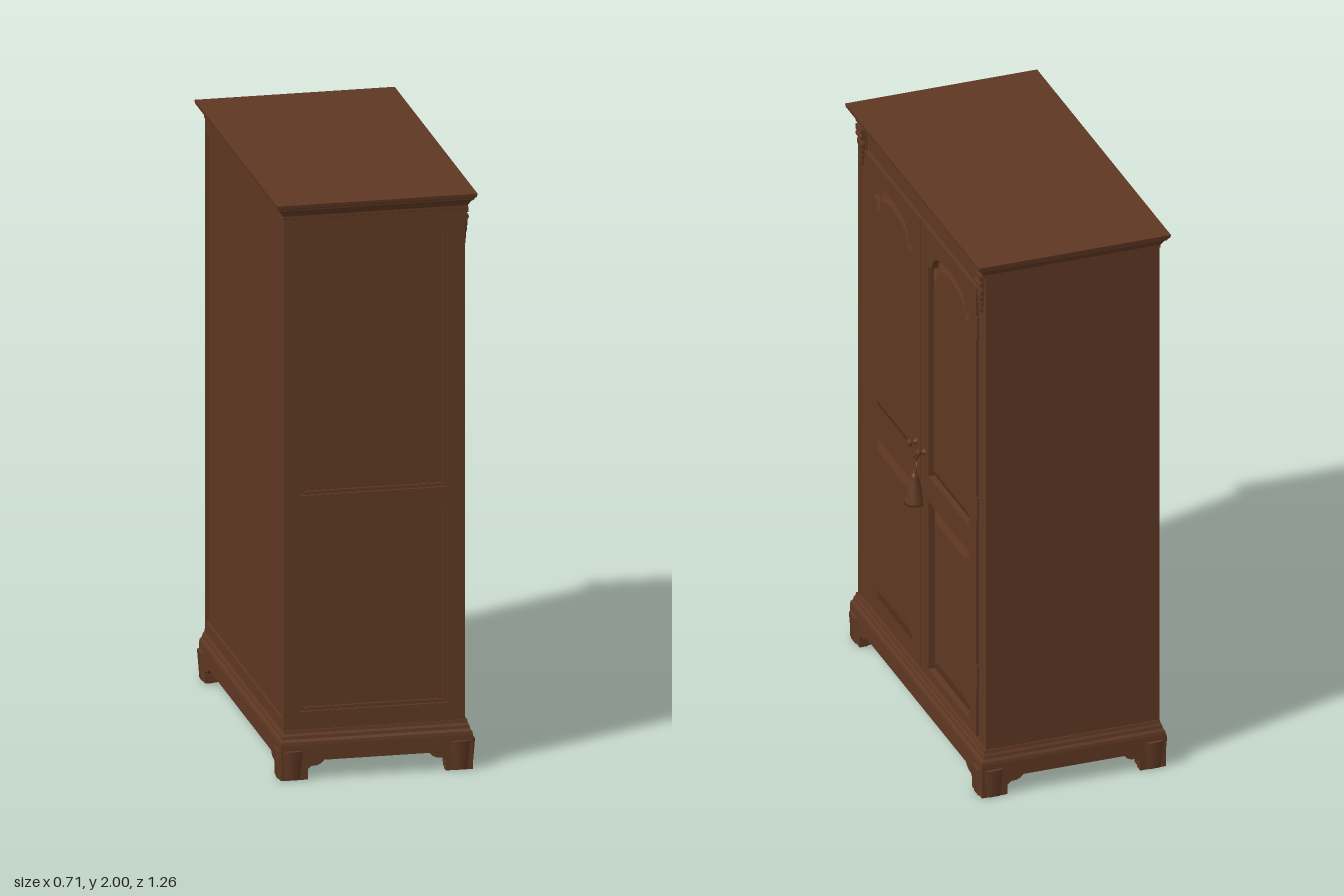
import * as THREE from 'three';

const wood = new THREE.MeshStandardMaterial({ color: 0x5f3823 });
wood.name = 'dark walnut';

// Front faces +x: bounds of the carcass
const BACK = -0.33, FRONT = 0.288, SIDE = 0.6, CORE = 0.272;

export function createModel() {
  const root = new THREE.Group();
  root.name = 'wardrobe';

  const add = (name, geo, x = 0, y = 0, z = 0, ry = 0) => {
    const m = new THREE.Mesh(geo, wood);
    m.name = name;
    m.position.set(x, y, z);
    m.rotation.y = ry;
    root.add(m);
    return m;
  };
  const box = (name, x0, x1, y0, y1, z0, z1) =>
    add(name, new THREE.BoxGeometry(x1 - x0, y1 - y0, z1 - z0), (x0 + x1) / 2, (y0 + y1) / 2, (z0 + z1) / 2);
  const poly = pts => new THREE.Shape(pts.map(p => new THREE.Vector2(...p)));
  const rect = (x0, x1, y0, y1) => poly([[x0, y0], [x1, y0], [x1, y1], [x0, y1]]);
  const plate = (outer, holes, depth) => {
    outer.holes.push(...holes);
    return new THREE.ExtrudeGeometry(outer, { depth, bevelEnabled: false, curveSegments: 8 });
  };
  // Raised panel with a wide chamfer rising from its outline
  const raised = (shape, size, height) => {
    const g = new THREE.ExtrudeGeometry(shape, {
      depth: 0.001, bevelThickness: height, bevelSize: size, bevelOffset: -size, bevelSegments: 1, curveSegments: 8
    });
    return g;
  };

  // Rectangular moulding: rows of [outward offset, y] swept round a rectangle
  const moulding = (name, x0, x1, z0, z1, rows) => {
    const pos = [], idx = [];
    for (const [o, y] of rows)
      pos.push(x0 - o, y, z1 + o, x1 + o, y, z1 + o, x1 + o, y, z0 - o, x0 - o, y, z0 - o);
    for (let r = 0; r < rows.length - 1; r++)
      for (let i = 0; i < 4; i++) {
        const a = r * 4 + i, b = r * 4 + (i + 1) % 4;
        idx.push(a, b, b + 4, a, b + 4, a + 4);
      }
    const t = (rows.length - 1) * 4;
    idx.push(t, t + 1, t + 2, t, t + 2, t + 3, 0, 2, 1, 0, 3, 2);
    const g = new THREE.BufferGeometry();
    g.setAttribute('position', new THREE.Float32BufferAttribute(pos, 3));
    g.setIndex(idx);
    const flat = g.toNonIndexed();
    flat.computeVertexNormals();
    return add(name, flat);
  };

  // Carcass, back edges and frieze
  box('carcass', -0.322, CORE, 0.15, 1.96, -0.582, 0.582);
  box('frieze', 0.25, 0.284, 1.875, 1.95, -0.59, 0.59);
  box('bottomRail', 0.25, 0.284, 0.15, 0.178, -0.59, 0.59);
  box('backBottomRail', BACK, -0.31, 0.15, 0.2, -0.59, 0.59);
  box('backTopRail', BACK, -0.31, 1.9, 1.95, -0.59, 0.59);

  // Cornice and plinth mouldings
  moulding('cornice', BACK, 0.295, -0.6, 0.6, [
    [-0.012, 1.935], [0.002, 1.945], [0.002, 1.955], [0.006, 1.962], [0.012, 1.972],
    [0.02, 1.978], [0.021, 1.984], [0.027, 1.988], [0.029, 2]]);
  moulding('plinthMoulding', -0.345, 0.31, -0.62, 0.62, [
    [-0.02, 0.085], [-0.003, 0.115], [0, 0.12], [-0.002, 0.131], [-0.008, 0.139],
    [-0.01, 0.15], [-0.014, 0.157], [-0.016, 0.168]]);

  // Bracket-foot aprons on all four sides
  const apron = half => {
    const foot = [[0, 0], [0.092, 0], [0.092, 0.036], [0.104, 0.046], [0.125, 0.048], [0.138, 0.054], [0.148, 0.065]];
    return plate(poly([
      ...foot.map(([u, v]) => [u - half, v]),
      ...foot.slice().reverse().map(([u, v]) => [half - u, v]),
      [half, 0.12], [-half, 0.12]]), [], 0.03);
  };
  add('frontApron', apron(0.62), 0.28, 0, 0, Math.PI / 2);
  add('backApron', apron(0.62), -0.315, 0, 0, -Math.PI / 2);
  add('leftApron', apron(0.3275), -0.0175, 0, 0.59);
  add('rightApron', apron(0.3275), -0.0175, 0, -0.59, Math.PI);
  for (const s of [-1, 1]) {
    for (const x of [-0.303, 0.268]) {
      const foot = new THREE.CylinderGeometry(0.058, 0.05, 0.1, 8);
      add('footBlock', foot, x, 0.051, s * 0.578, Math.PI / 8);
    }
  }

  // Door opening outlines, u runs along -z after turning to the front
  const opening = (s, z0, z1, y0, y1, arched) => {
    if (!arched) return rect(-s * z0, -s * z1, y0, y1);
    const p = new THREE.Shape(), mid = (z0 + z1) / 2, sh = y1 - 0.075;
    p.moveTo(-s * z0, y0);
    p.lineTo(-s * z1, y0);
    p.lineTo(-s * z1, sh);
    p.lineTo(-s * (z1 - 0.03), sh);
    p.quadraticCurveTo(-s * (z1 - 0.045), y1 - 0.025, -s * (z1 - 0.09), y1 - 0.015);
    p.quadraticCurveTo(-s * mid, y1 + 0.015, -s * (z0 + 0.09), y1 - 0.015);
    p.quadraticCurveTo(-s * (z0 + 0.045), y1 - 0.025, -s * (z0 + 0.03), sh);
    p.lineTo(-s * z0, sh);
    return p;
  };

  const panels = [[0.94, 1.81, true], [0.215, 0.845, false]];
  const sidePanels = [[0.98, 1.875], [0.23, 0.91]];
  for (const s of [-1, 1]) {
    const side = s > 0 ? 'left' : 'right';
    const turn = s > 0 ? 0 : Math.PI;

    // Side frame with two recessed panels and a thin bead round each
    const holes = sidePanels.map(([y0, y1]) => rect(s * -0.272, s * 0.228, y0, y1));
    add(side + 'SideFrame', plate(rect(s * BACK, s * FRONT, 0.155, 1.95), holes, 0.018), 0, 0, s * 0.582, turn);
    for (const [y0, y1] of sidePanels) {
      const bead = plate(rect(s * -0.272, s * 0.228, y0, y1),
        [rect(s * -0.26, s * 0.216, y0 + 0.012, y1 - 0.012)], 0.009);
      add(side + 'SideBead', bead, 0, 0, s * 0.582, turn);
    }

    // Corner stiles
    const z0 = s > 0 ? 0.53 : -0.59, z1 = s > 0 ? 0.59 : -0.53;
    box(side + 'FrontStile', 0.25, FRONT - 0.001, 0.155, 1.95, z0, z1);
    box(side + 'BackStile', BACK, -0.31, 0.155, 1.95, s > 0 ? 0.57 : -0.595, s > 0 ? 0.595 : -0.57);

    // Door frame and raised panels
    const doorHoles = panels.map(([y0, y1, a]) => opening(s, 0.075, 0.462, y0, y1, a));
    add(side + 'Door', plate(rect(-s * 0.004, -s * 0.524, 0.183, 1.87), doorHoles, 0.023), 0.271, 0, 0, Math.PI / 2);
    for (const [y0, y1, a] of panels)
      add(side + 'DoorPanel', raised(opening(s, 0.079, 0.458, y0 + 0.004, y1 - 0.004, a), a ? 0.035 : 0.05, 0.015),
        0.273, 0, 0, Math.PI / 2);

    // Hinges
    for (const y of [0.41, 1.04, 1.72])
      add(side + 'Hinge', new THREE.CylinderGeometry(0.006, 0.006, 0.085, 10), 0.291, y, s * 0.527);

    // Turned knob
    const knob = new THREE.LatheGeometry(
      [[0.012, 0], [0.012, 0.004], [0.005, 0.007], [0.005, 0.016], [0.012, 0.02], [0.014, 0.026], [0.01, 0.032], [0, 0.034]]
        .map(p => new THREE.Vector2(...p)), 16);
    add(side + 'Knob', knob, 0.293, 1.015, s * 0.04).rotation.z = -Math.PI / 2;

    // Carved corbel: cap, scroll and tapering leaves
    const z = s * 0.56;
    box(side + 'CorbelCap', 0.28, 0.303, 1.925, 1.943, z - 0.026, z + 0.026);
    const scroll = add(side + 'CorbelScroll', new THREE.CylinderGeometry(0.014, 0.014, 0.05, 14), 0.29, 1.91, z);
    scroll.rotation.x = Math.PI / 2;
    for (let i = 0; i < 4; i++) {
      const leaf = new THREE.SphereGeometry(1, 12, 8);
      leaf.scale(0.014 - i * 0.002, 0.022, 0.013 - i * 0.0015);
      for (const k of [-1, 1])
        add(side + 'CorbelLeaf', leaf, 0.289, 1.885 - i * 0.022, z + k * (0.011 - i * 0.0025));
    }
  }

  // Meeting bead, lock plate and key
  const strip = add('meetingBead', new THREE.CylinderGeometry(0.006, 0.006, 1.687, 10), 0.288, 1.0265, 0);
  strip.scale.x = 0.8;
  const lock = add('lockPlate', new THREE.CylinderGeometry(0.009, 0.009, 0.006, 14), 0.295, 0.985, 0.002);
  lock.scale.x = 1;
  lock.rotation.z = Math.PI / 2;
  add('keyBow', new THREE.TorusGeometry(0.009, 0.003, 6, 14), 0.308, 0.985, 0);

  // Cord and tassel
  const cord = new THREE.CatmullRomCurve3([[0.309, 0.978, 0.002], [0.304, 0.96, 0.008], [0.309, 0.94, -0.003], [0.313, 0.915, 0]]
    .map(p => new THREE.Vector3(...p)));
  add('tasselCord', new THREE.TubeGeometry(cord, 16, 0.003, 6));
  const tassel = new THREE.LatheGeometry(
    [[0, 0], [0.036, 0], [0.034, 0.008], [0.017, 0.085], [0.013, 0.09], [0.015, 0.098], [0.01, 0.108], [0.005, 0.112], [0.006, 0.118], [0, 0.122]]
      .map(p => new THREE.Vector2(...p)), 20);
  add('tassel', tassel, 0.315, 0.808, 0);

  return root;
}
